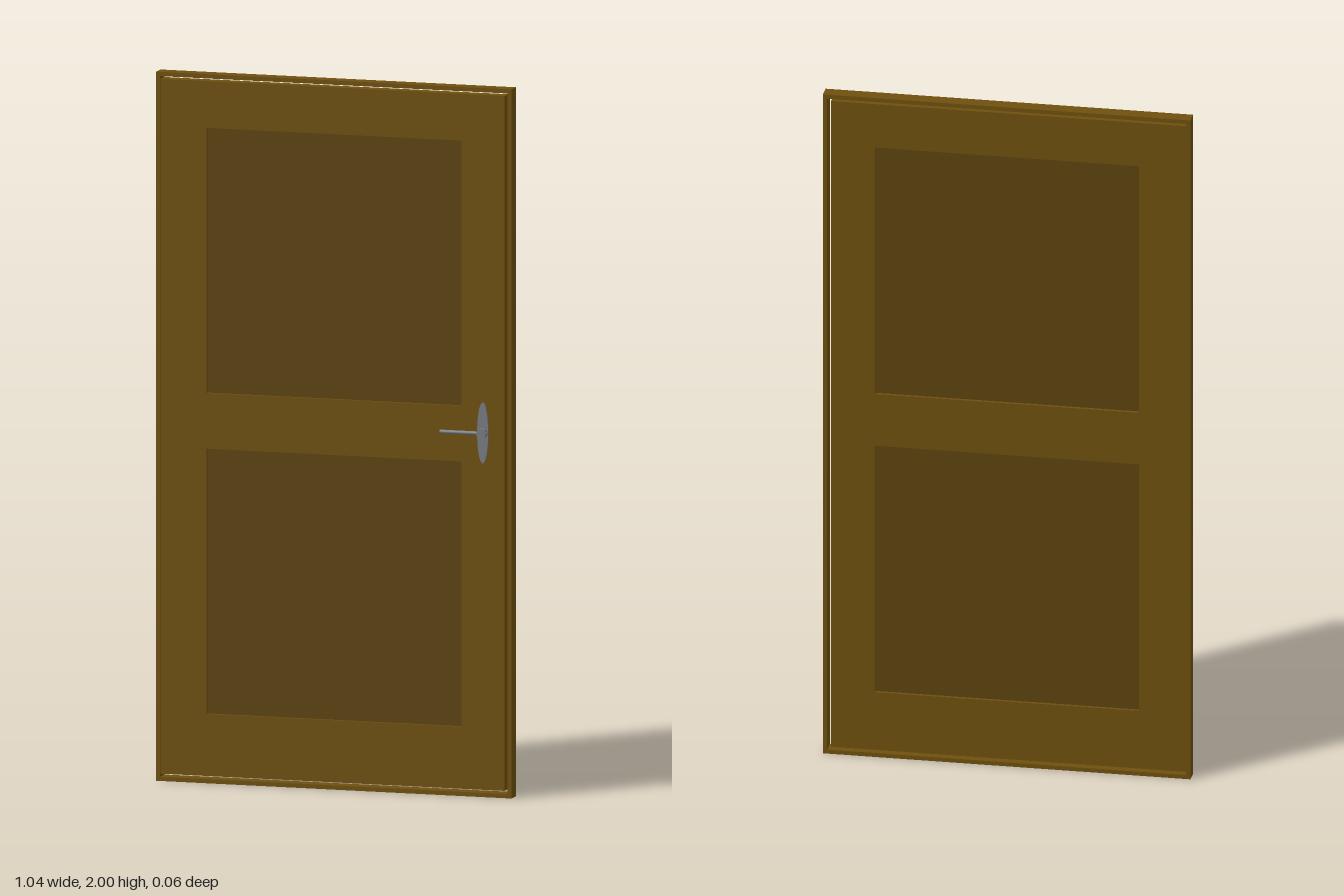
import * as THREE from 'three';

const WOOD = 0x6f500e, PANEL = 0x5c430d, METAL = 0x787c82;

function rect(path, x0, y0, x1, y1) {
  path.moveTo(x0, y0);
  path.lineTo(x1, y0);
  path.lineTo(x1, y1);
  path.lineTo(x0, y1);
  path.closePath();
  return path;
}

function extrude(shape, z0, z1) {
  const geo = new THREE.ExtrudeGeometry(shape, { depth: z1 - z0, bevelEnabled: false, curveSegments: 24 });
  return geo.translate(0, 0, z0);
}

export function createModel() {
  const root = new THREE.Group();
  root.name = 'door';
  const add = (parent, name, geo, color) => {
    const mesh = new THREE.Mesh(geo, new THREE.MeshStandardMaterial({ color }));
    mesh.name = name;
    parent.add(mesh);
    return mesh;
  };

  // Thin surrounding frame
  const frame = rect(new THREE.Shape(), -0.52, 0, 0.52, 2);
  frame.holes.push(rect(new THREE.Path(), -0.508, 0.012, 0.508, 1.988));
  add(root, 'doorFrame', extrude(frame, -0.03, 0.011), WOOD);

  // Leaf with two openings, leaving a small gap at top, bottom and latch side
  const leaf = rect(new THREE.Shape(), -0.508, 0.02, 0.498, 1.98);
  const openings = [[0.195, 0.943], [1.1, 1.848]];
  for (const [y0, y1] of openings) leaf.holes.push(rect(new THREE.Path(), -0.373, y0, 0.373, y1));
  add(root, 'doorLeaf', extrude(leaf, -0.026, 0.007), WOOD);

  // Recessed panels, visible from both sides
  openings.forEach(([y0, y1], i) => {
    const panel = add(root, i ? 'upperPanel' : 'lowerPanel', new THREE.BoxGeometry(0.746, y1 - y0, 0.015), PANEL);
    panel.position.set(0, (y0 + y1) / 2, -0.0095);
  });

  // Lever handle on the front
  const handle = new THREE.Group();
  handle.name = 'handle';
  handle.position.set(0.436, 1.027, 0);
  root.add(handle);

  const plate = new THREE.Shape();
  plate.absellipse(0, 0, 0.016, 0.086, 0, Math.PI * 2);
  add(handle, 'handlePlate', extrude(plate, 0.006, 0.013), METAL);

  const hub = add(handle, 'handleHub', new THREE.CylinderGeometry(0.014, 0.014, 0.018, 24), METAL);
  hub.rotation.x = Math.PI / 2;
  hub.position.z = 0.019;

  const lever = add(handle, 'handleLever', new THREE.CylinderGeometry(0.0055, 0.0055, 0.138, 16), METAL);
  lever.rotation.z = Math.PI / 2;
  lever.position.set(-0.053, 0, 0.021);

  return root;
}
